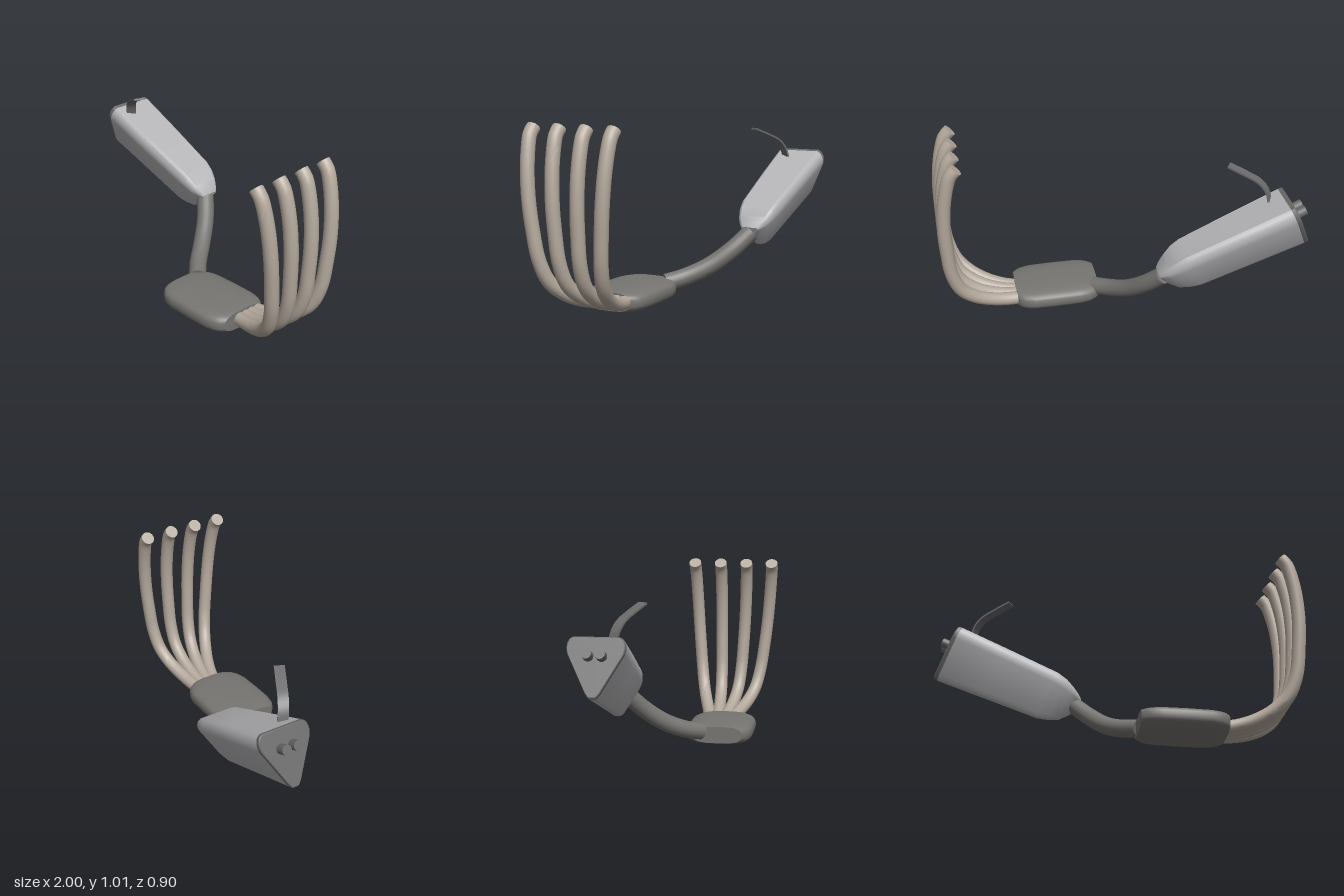
import * as THREE from 'three';
import { toCreasedNormals } from 'three/addons/utils/BufferGeometryUtils.js';

const V = (x, y, z) => new THREE.Vector3(x, y, z);
const flat = (name, color) => {
  const m = new THREE.MeshStandardMaterial({ color });
  m.name = name;
  return m;
};

// Closed solid through equal-sized rings of points, capped at both ends
function loft(rings, crease = 0.7) {
  const n = rings[0].length, pos = [], idx = [];
  rings.forEach(r => r.forEach(p => pos.push(p.x, p.y, p.z)));
  for (let i = 0; i < rings.length - 1; i++) {
    for (let j = 0; j < n; j++) {
      const k = (j + 1) % n, a = i * n + j, b = i * n + k;
      idx.push(a, b, b + n, a, b + n, a + n);
    }
  }
  [0, rings.length - 1].forEach((i, end) => {
    const c = V(0, 0, 0);
    rings[i].forEach(p => c.addScaledVector(p, 1 / n));
    const ci = pos.length / 3;
    pos.push(c.x, c.y, c.z);
    for (let j = 0; j < n; j++) {
      const a = i * n + j, b = i * n + (j + 1) % n;
      if (end) idx.push(ci, a, b); else idx.push(ci, b, a);
    }
  });
  const g = new THREE.BufferGeometry();
  g.setAttribute('position', new THREE.Float32BufferAttribute(pos, 3));
  g.setIndex(idx);
  return toCreasedNormals(g, crease);
}

// Round rod with closed ends along a smooth path
function rod(points, radius, steps, sides = 20) {
  const curve = new THREE.CatmullRomCurve3(points);
  const f = curve.computeFrenetFrames(steps, false);
  const rings = [];
  for (let i = 0; i <= steps; i++) {
    const c = curve.getPointAt(i / steps), ring = [];
    for (let j = 0; j < sides; j++) {
      const t = j / sides * Math.PI * 2;
      ring.push(c.clone().addScaledVector(f.normals[i], radius * Math.cos(t))
        .addScaledVector(f.binormals[i], radius * Math.sin(t)));
    }
    rings.push(ring);
  }
  return loft(rings);
}

// Rounded triangular handle section: wide at the top, narrow at the bottom
const HALF = [[0.8, 0], [0.92, 0.04], [0.985, 0.11], [1, 0.19], [0.96, 0.28], [0.24, 0.93], [0.12, 1]];
function handleRing(s, top, bottom, halfWidth) {
  const side = m => HALF.map(([w, h]) => V(s, top + (bottom - top) * h, m * w * halfWidth));
  return [...side(1), ...side(-1).reverse()];
}

// Rounded palm section
function palmRing(x, y, halfHeight, halfWidth) {
  const ring = [], n = 36, e = 0.65;
  for (let j = 0; j < n; j++) {
    const t = j / n * Math.PI * 2, c = Math.cos(t), s = Math.sin(t);
    ring.push(V(x, y + halfHeight * Math.sign(c) * Math.abs(c) ** e,
      0.17 + halfWidth * Math.sign(s) * Math.abs(s) ** e));
  }
  return ring;
}

export function createModel() {
  const model = new THREE.Group();
  const lightGrey = flat('light grey', 0xb5b5b8);
  const darkGrey = flat('dark grey', 0x777572);
  const trimGrey = flat('trim grey', 0x6a6a6a);
  const beige = flat('beige', 0xb3a89c);
  const add = (parent, name, geometry, material) => {
    const mesh = new THREE.Mesh(geometry, material);
    mesh.name = name;
    parent.add(mesh);
    return mesh;
  };

  // Handle, built along its own axis and tilted
  const handle = new THREE.Group();
  handle.name = 'handle';
  handle.position.set(-0.87, 0.78, -0.3);
  handle.rotation.z = -0.433;
  model.add(handle);
  add(handle, 'handleBody', loft([
    handleRing(0.025, 0, -0.307, 0.147), handleRing(0.3, 0.006, -0.282, 0.137),
    handleRing(0.63, 0.012, -0.253, 0.12), handleRing(0.69, 0.002, -0.234, 0.11),
    handleRing(0.745, -0.018, -0.206, 0.092), handleRing(0.785, -0.036, -0.155, 0.07),
    handleRing(0.81, -0.052, -0.11, 0.05),
  ], 0.55), lightGrey);
  add(handle, 'handleCap', loft([
    handleRing(0, -0.005, -0.303, 0.142), handleRing(0.006, 0, -0.309, 0.147),
    handleRing(0.025, 0, -0.308, 0.147),
  ], 0.5), trimGrey);
  for (const side of [-1, 1]) {
    const button = add(handle, 'button', new THREE.CylinderGeometry(0.027, 0.027, 0.06, 20), trimGrey);
    button.rotation.z = Math.PI / 2;
    button.position.set(-0.024, -0.1, side * 0.034);
  }

  // Trigger: a thin bent strip
  const triggerPath = new THREE.CatmullRomCurve3([
    V(-0.785, 0.735, -0.24), V(-0.772, 0.79, -0.228), V(-0.735, 0.838, -0.206),
    V(-0.67, 0.873, -0.172), V(-0.58, 0.912, -0.125),
  ]);
  const across = V(-0.48, 0, 0.87).multiplyScalar(0.028);
  const strip = [];
  for (let i = 0; i <= 16; i++) {
    const c = triggerPath.getPointAt(i / 16);
    const n = triggerPath.getTangentAt(i / 16).cross(across).setLength(0.005);
    strip.push([[1, 1], [-1, 1], [-1, -1], [1, -1]].map(([a, b]) =>
      c.clone().addScaledVector(across, a).addScaledVector(n, b)));
  }
  add(model, 'trigger', loft(strip), trimGrey);

  // Arm joining handle and palm
  add(model, 'arm', rod([
    V(-0.19, 0.362, -0.293), V(-0.11, 0.268, -0.215), V(-0.03, 0.178, -0.11),
    V(0.05, 0.122, -0.005), V(0.13, 0.095, 0.075),
  ], 0.049, 24), darkGrey);

  // Palm
  add(model, 'palm', loft([
    palmRing(0.11, 0.078, 0.048, 0.14), palmRing(0.135, 0.076, 0.053, 0.163),
    palmRing(0.165, 0.074, 0.057, 0.18), palmRing(0.22, 0.073, 0.06, 0.19),
    palmRing(0.35, 0.071, 0.061, 0.192), palmRing(0.48, 0.069, 0.06, 0.19),
    palmRing(0.53, 0.068, 0.058, 0.178), palmRing(0.56, 0.068, 0.055, 0.16),
    palmRing(0.58, 0.068, 0.051, 0.135),
  ]), darkGrey);

  // Fingers: one side profile [x, y, spread], fanned out in depth
  const profile = [
    [0.56, 0.07, 0], [0.65, 0.08, 0.1], [0.74, 0.105, 0.24], [0.82, 0.145, 0.4],
    [0.895, 0.215, 0.57], [0.94, 0.33, 0.7], [0.957, 0.48, 0.8], [0.963, 0.63, 0.88],
    [0.953, 0.78, 0.94], [0.93, 0.9, 0.98], [0.907, 0.965, 1], [0.876, 0.998, 1],
  ];
  [[0.195, 0.412], [0.153, 0.255], [0.112, 0.095], [0.07, -0.065]].forEach(([base, tip]) => {
    const path = profile.map(([x, y, f]) => V(x, y, base + (tip - base) * f));
    add(model, 'finger', rod(path, 0.037, 48), beige);
  });

  return model;
}
